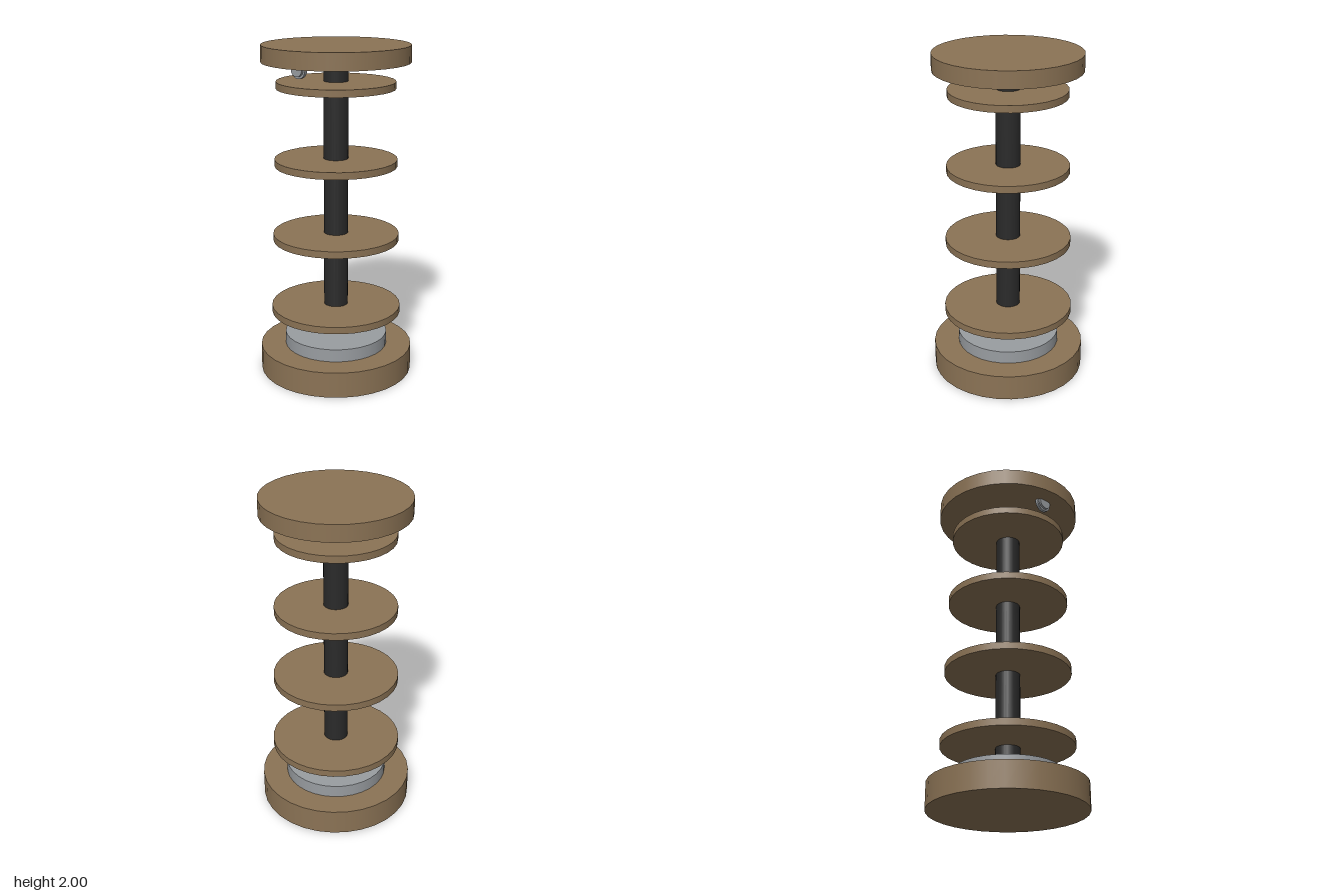
import * as THREE from 'three';

const material = (name, color) => {
  const m = new THREE.MeshStandardMaterial({ color });
  m.name = name;
  return m;
};

export function createModel() {
  const group = new THREE.Group();
  const brown = material('brown wood', 0x8b7355);
  const black = material('black post', 0x2a2a2a);
  const grey = material('grey metal', 0x999da1);

  // Upright disc or post between two heights
  const disc = (name, radius, bottom, top, mat, sides = 32) => {
    const mesh = new THREE.Mesh(new THREE.CylinderGeometry(radius, radius, top - bottom, sides), mat);
    mesh.name = name;
    mesh.position.y = (bottom + top) / 2;
    group.add(mesh);
    return mesh;
  };

  // Base, metal collar and central post
  disc('base', 0.465, 0, 0.157, brown);
  disc('collar', 0.313, 0.157, 0.235, grey);
  disc('post', 0.073, 0.2, 1.857, black, 24);

  // Four shelves, slightly smaller towards the top
  for (let i = 0; i < 4; i++) {
    const y = 0.392 + i * 0.4585;
    disc('shelf' + (i + 1), 0.394 - i * 0.0145, y - 0.021, y + 0.021, brown);
  }

  // Top plate
  disc('topPlate', 0.435, 1.9, 2, brown);

  // Small round fitting facing forward under the top plate
  const fitting = (name, radius, back, front) => {
    const mesh = disc(name, radius, back, front, grey, 24);
    mesh.rotation.x = Math.PI / 2;
    mesh.position.set(0, 1.886, (back + front) / 2);
  };
  fitting('fittingBack', 0.052, 0.308, 0.327);
  fitting('fittingFront', 0.04, 0.327, 0.341);

  return group;
}
